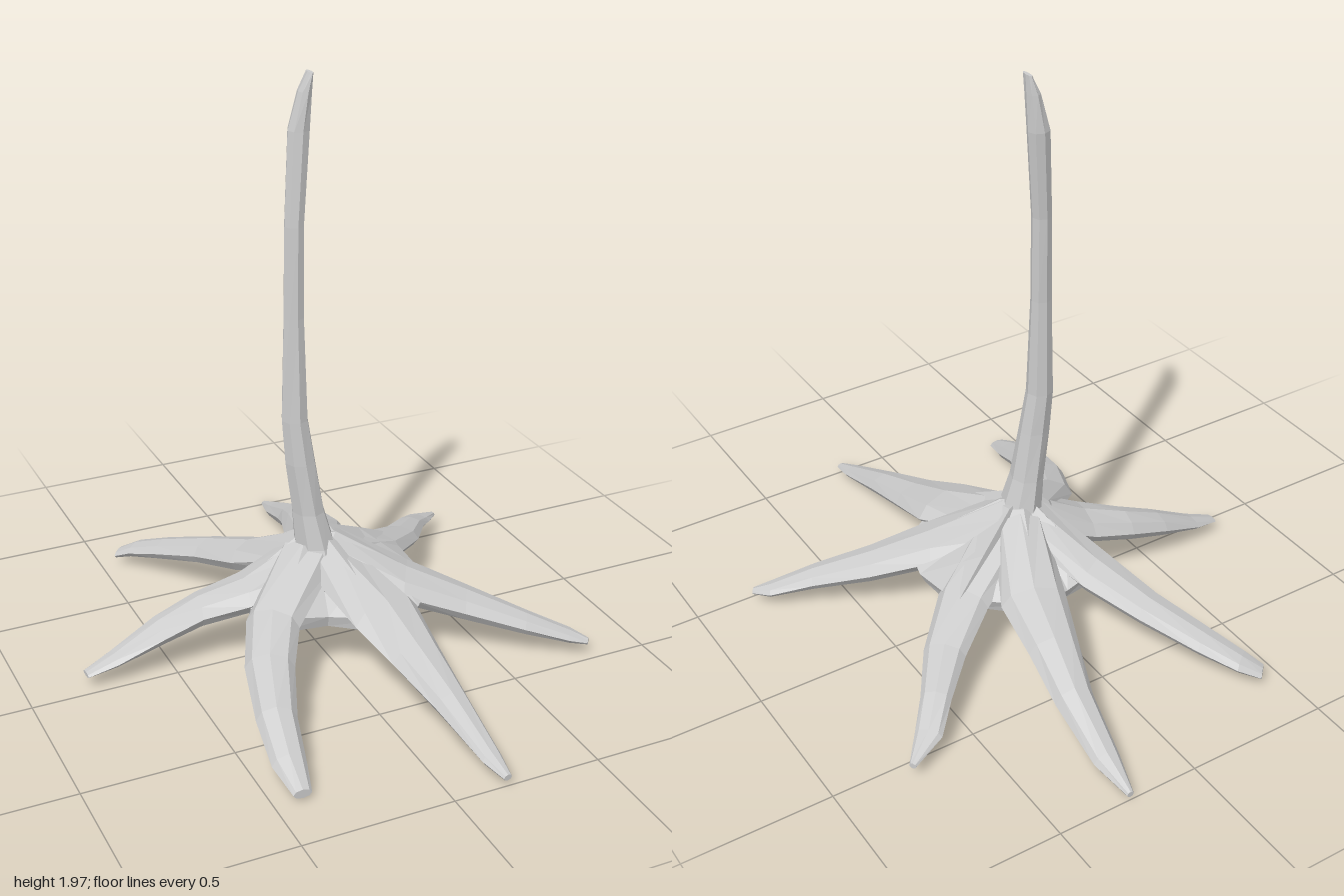
import * as THREE from 'three';

const material = new THREE.MeshStandardMaterial({ color: 0xcccccc, flatShading: true });

// Skins a stack of equal-length rings and closes both ends
function skin(name, rings) {
  const n = rings[0].length, pos = [], index = [];
  rings.forEach((ring) => ring.forEach((p) => pos.push(p.x, p.y, p.z)));
  for (let i = 0; i < rings.length - 1; i++) {
    for (let j = 0; j < n; j++) {
      const k = (j + 1) % n, a = i * n, b = a + n;
      index.push(a + j, a + k, b + k, a + j, b + k, b + j);
    }
  }
  [0, rings.length - 1].forEach((r, end) => {
    const c = rings[r].reduce((s, p) => s.add(p), new THREE.Vector3()).divideScalar(n);
    const ci = pos.length / 3;
    pos.push(c.x, c.y, c.z);
    for (let j = 0; j < n; j++) {
      const a = r * n + j, b = r * n + ((j + 1) % n);
      index.push(ci, ...(end ? [a, b] : [b, a]));
    }
  });
  const geo = new THREE.BufferGeometry();
  geo.setAttribute('position', new THREE.Float32BufferAttribute(pos, 3));
  geo.setIndex(index);
  geo.computeVertexNormals();
  const mesh = new THREE.Mesh(geo, material);
  mesh.name = name;
  return mesh;
}

// Elliptical ring spanned by axes u and v
function ellipse(centre, u, v, a, b, sides) {
  return Array.from({ length: sides }, (_, j) => {
    const t = (j / sides) * Math.PI * 2;
    return centre.clone().addScaledVector(u, a * Math.cos(t)).addScaledVector(v, b * Math.sin(t));
  });
}

const UP = new THREE.Vector3(0, 1, 0);
const X = new THREE.Vector3(1, 0, 0);
const Z = new THREE.Vector3(0, 0, 1);

// Root sections: x, y, z, half width, half thickness
function root(name, sections) {
  const pts = sections.map((s) => new THREE.Vector3(s[0], s[1], s[2]));
  return skin(name, sections.map((s, i) => {
    const dir = pts[Math.min(i + 1, pts.length - 1)].clone().sub(pts[Math.max(i - 1, 0)]);
    dir.y = 0;
    const side = UP.clone().cross(dir.normalize());
    return ellipse(pts[i], side, UP, s[3], s[4], 8);
  }));
}

const ROOTS = {
  frontRoot: [[0.04, 0.32, 0.08, 0.1, 0.08], [0.11, 0.25, 0.32, 0.125, 0.06], [0.13, 0.19, 0.5, 0.09, 0.05],
    [0.15, 0.13, 0.7, 0.06, 0.04], [0.17, 0.06, 0.92, 0.035, 0.02], [0.18, 0.04, 1.0, 0.015, 0.01]],
  frontLeftRoot: [[0.06, 0.35, 0.02, 0.1, 0.08], [0.27, 0.25, 0.15, 0.11, 0.06], [0.45, 0.18, 0.25, 0.08, 0.05],
    [0.62, 0.12, 0.36, 0.055, 0.035], [0.75, 0.075, 0.43, 0.04, 0.02], [0.8, 0.06, 0.47, 0.015, 0.01]],
  backLeftRoot: [[0.08, 0.32, -0.02, 0.1, 0.08], [0.32, 0.23, -0.15, 0.09, 0.05], [0.47, 0.17, -0.28, 0.07, 0.04],
    [0.58, 0.13, -0.41, 0.05, 0.03], [0.66, 0.09, -0.5, 0.045, 0.02], [0.755, 0.06, -0.565, 0.012, 0.01]],
  backRoot: [[0.04, 0.34, -0.06, 0.09, 0.08], [0.14, 0.25, -0.3, 0.11, 0.06], [0.18, 0.2, -0.48, 0.085, 0.05],
    [0.215, 0.13, -0.65, 0.065, 0.05], [0.235, 0.055, -0.86, 0.046, 0.03], [0.237, 0.02, -0.99, 0.012, 0.01]],
  backRightRoot: [[-0.02, 0.34, -0.04, 0.09, 0.08], [-0.13, 0.24, -0.27, 0.09, 0.055], [-0.21, 0.18, -0.46, 0.07, 0.045],
    [-0.31, 0.12, -0.64, 0.06, 0.035], [-0.38, 0.08, -0.75, 0.05, 0.025], [-0.43, 0.05, -0.8, 0.035, 0.015]],
  rightRoot: [[-0.04, 0.34, 0, 0.1, 0.08], [-0.25, 0.245, -0.02, 0.1, 0.055], [-0.4, 0.2, -0.055, 0.075, 0.05],
    [-0.54, 0.15, -0.06, 0.065, 0.04], [-0.7, 0.085, -0.055, 0.045, 0.02], [-0.8, 0.055, -0.05, 0.025, 0.008]],
  frontRightRoot: [[-0.05, 0.34, 0.03, 0.1, 0.08], [-0.24, 0.24, 0.2, 0.09, 0.055], [-0.32, 0.19, 0.36, 0.08, 0.05],
    [-0.38, 0.13, 0.55, 0.065, 0.045], [-0.405, 0.07, 0.7, 0.055, 0.035], [-0.41, 0.035, 0.81, 0.03, 0.015]],
};

// Outline of the root crown, alternating root and notch (x, z)
const CROWN = [[0.1, 0.36], [0.25, 0.28], [0.34, 0.19], [0.37, 0.05], [0.36, -0.18], [0.29, -0.17], [0.14, -0.33],
  [0, -0.29], [-0.12, -0.28], [-0.18, -0.11], [-0.28, -0.03], [-0.26, 0.11], [-0.23, 0.21], [-0.05, 0.22]];

// Crown levels: outline scale, height at roots, height at notches
const LEVELS = [[0.5, 0.21, 0.21], [0.95, 0.2, 0.19], [1, 0.26, 0.23], [0.6, 0.345, 0.31], [0.18, 0.43, 0.42]];

// Trunk sections: x, y, z, half depth, half width
const TRUNK = [[0, 0.28, 0.01, 0.13, 0.1], [-0.005, 0.4, 0.01, 0.08, 0.068], [-0.025, 0.52, 0.002, 0.062, 0.055],
  [-0.05, 0.7, -0.004, 0.051, 0.052], [-0.065, 0.85, -0.012, 0.045, 0.045], [-0.062, 1.2, -0.022, 0.034, 0.035],
  [-0.055, 1.5, -0.032, 0.033, 0.033], [-0.03, 1.8, -0.05, 0.036, 0.037],
  [-0.012, 1.92, -0.045, 0.03, 0.022], [0.002, 1.98, -0.038, 0.024, 0.007]];

export function createModel() {
  const model = new THREE.Group();
  model.name = 'rootedStem';

  model.add(skin('trunk', TRUNK.map(([x, y, z, depth, width]) =>
    ellipse(new THREE.Vector3(x, y, z), Z, X, depth, width, 8))));

  model.add(skin('rootCrown', LEVELS.map(([scale, rootY, notchY]) =>
    CROWN.map(([x, z], i) => new THREE.Vector3(x * scale, i % 2 ? notchY : rootY, z * scale)))));

  for (const [name, sections] of Object.entries(ROOTS)) model.add(root(name, sections));

  return model;
}
